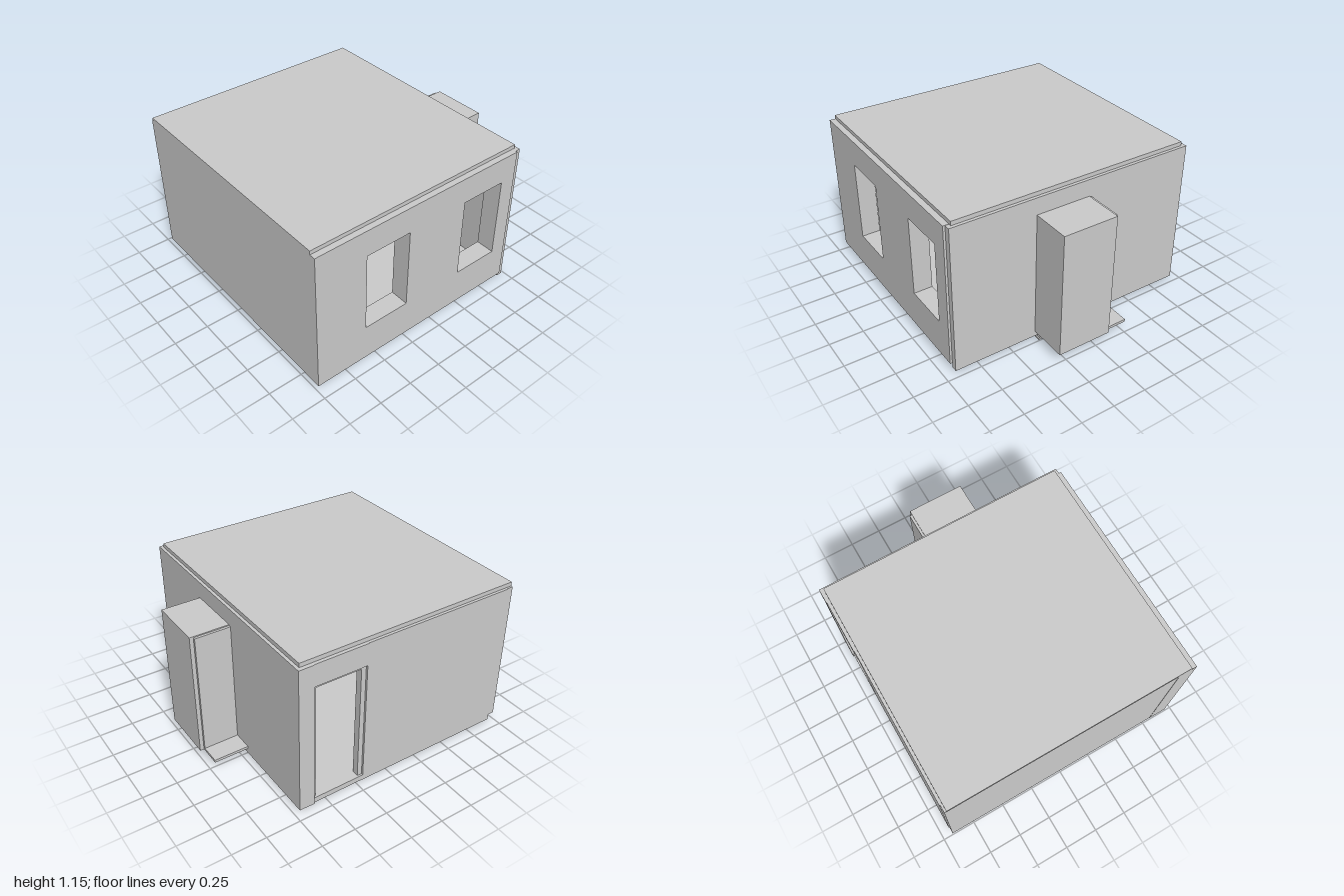
import * as THREE from 'three';

const material = new THREE.MeshStandardMaterial({ color: 0xcccccc, flatShading: true });

export function createModel() {
  const model = new THREE.Group();
  model.name = 'cabin';

  // Box given by its extents along each axis
  function box(name, [x0, x1], [y0, y1], [z0, z1], parent = model) {
    const mesh = new THREE.Mesh(new THREE.BoxGeometry(x1 - x0, y1 - y0, z1 - z0), material);
    mesh.position.set((x0 + x1) / 2, (y0 + y1) / 2, (z0 + z1) / 2);
    mesh.name = name;
    parent.add(mesh);
    return mesh;
  }

  function rectangle(Type, [x0, x1], [y0, y1]) {
    return new Type([[x0, y0], [x1, y0], [x1, y1], [x0, y1]].map(p => new THREE.Vector2(...p)));
  }

  // Thick wall facing z, with rectangular openings
  function wall(name, xs, ys, [z0, z1], openings) {
    const shape = rectangle(THREE.Shape, xs, ys);
    for (const [ox, oy] of openings) shape.holes.push(rectangle(THREE.Path, ox, oy));
    const geometry = new THREE.ExtrudeGeometry(shape, { depth: z1 - z0, bevelEnabled: false });
    const mesh = new THREE.Mesh(geometry, material);
    mesh.position.z = z0;
    mesh.name = name;
    model.add(mesh);
  }

  // Floor and roof
  box('floor', [-0.945, 0.69], [0.015, 0.06], [-0.88, 0.82]);
  box('roof', [-1, 0.69], [1.12, 1.153], [-0.91, 0.895]);

  // Front wall with two deep windows
  wall('frontWall', [-1, 0.67], [0.058, 1.125], [0.8, 0.938], [
    [[-0.615, -0.27], [0.33, 0.93]],
    [[0.205, 0.55], [0.33, 0.93]],
  ]);

  // Side walls
  box('rightSideWall', [0.67, 0.712], [0.02, 1.123], [-0.938, 0.922]);
  box('leftSideWall', [-0.998, -0.945], [0.055, 1.123], [-0.925, 0.8]);

  // Back wall, built around the doorway
  box('backWall', [-0.945, 0.205], [0.018, 1.123], [-0.93, -0.875]);
  box('doorPier', [0.6, 0.67], [0.018, 1.123], [-0.938, -0.875]);
  box('doorLintel', [0.205, 0.6], [0.96, 1.123], [-0.934, -0.875]);

  // Door frame
  box('doorJamb', [0.205, 0.24], [0.06, 0.96], [-0.915, -0.865]);
  box('doorJamb', [0.575, 0.6], [0.06, 0.96], [-0.915, -0.865]);
  box('doorHead', [0.24, 0.575], [0.935, 0.96], [-0.915, -0.865]);
  box('threshold', [0.205, 0.6], [0.02, 0.06], [-0.93, -0.88]);

  // Door leaf, standing open into the room
  const door = new THREE.Group();
  door.name = 'door';
  model.add(door);
  box('doorLeaf', [0.56, 0.59], [0.065, 0.93], [-0.87, -0.53], door);
  box('doorHandle', [0.53, 0.54], [0.34, 0.42], [-0.6, -0.585], door);
  for (const y of [0.34, 0.41]) box('handleMount', [0.535, 0.56], [y, y + 0.01], [-0.6, -0.585], door);

  // Cabinet passing through the right wall, on its base plate
  box('cabinet', [0.345, 0.998], [0.08, 0.998], [-0.11, 0.3]);
  box('cabinetBackPanel', [0.36, 0.97], [0.08, 0.99], [-0.128, -0.11]);
  box('cabinetBase', [0.345, 0.998], [0.06, 0.08], [-0.11, 0.3]);
  box('cabinetLedge', [0.345, 0.97], [0.06, 0.08], [-0.275, -0.11]);
  box('cabinetShelf', [0.335, 0.67], [0.335, 0.355], [0.3, 0.34]);

  // Bracket below the cabinet
  box('bracketFoot', [0.35, 0.742], [0, 0.012], [0.25, 0.29]);
  box('bracketPost', [0.715, 0.742], [0.012, 0.06], [0.26, 0.28]);

  // Low bed inside
  box('bed', [-0.945, -0.26], [0.22, 0.345], [-0.87, -0.3]);
  for (const x of [-0.93, -0.31]) {
    for (const z of [-0.85, -0.35]) box('bedLeg', [x, x + 0.03], [0.06, 0.22], [z, z + 0.03]);
  }

  return model;
}
